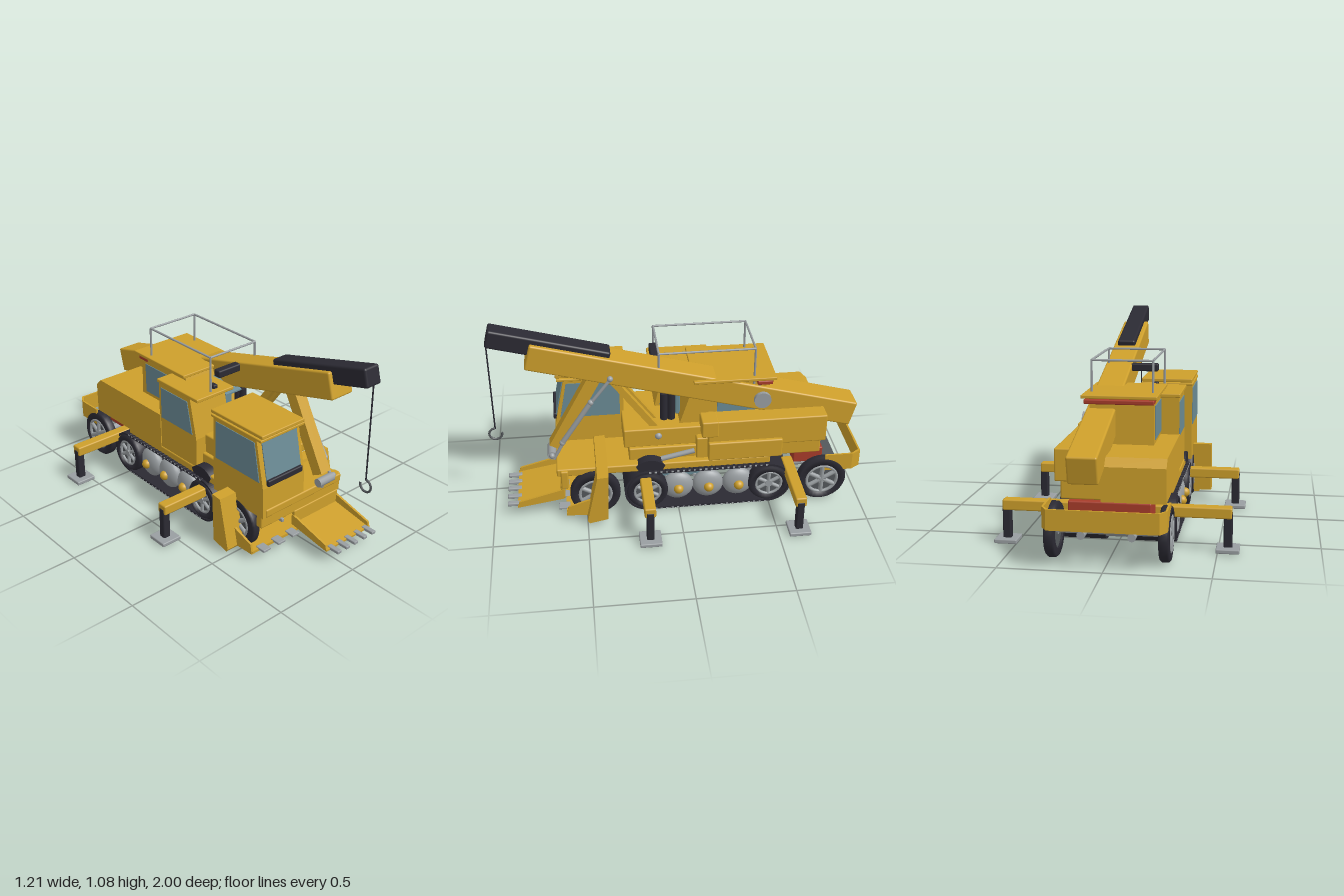
import * as THREE from 'three';
import { RoundedBoxGeometry } from 'three/addons/geometries/RoundedBoxGeometry.js';

const mat = (name, color) => Object.assign(new THREE.MeshStandardMaterial({ color }), { name });

export function createModel() {
  const model = new THREE.Group();
  model.name = 'constructionVehicle';
  const yellow = mat('yellow paint', 0xcd9f2b), dark = mat('dark rubber', 0x2b2a33);
  const grey = mat('light steel', 0x999ea1), bed = mat('dark steel', 0x54585b);
  const glass = mat('window glass', 0x6a8b95), red = mat('red trim', 0xa83c2a);

  const add = (name, geo, m, pos = [0, 0, 0], parent = model) => {
    const mesh = new THREE.Mesh(geo, m);
    mesh.name = name;
    mesh.position.set(...pos);
    parent.add(mesh);
    return mesh;
  };
  // box from its min and max in x, y, z
  const box = (name, m, x0, x1, y0, y1, z0, z1) => {
    const s = [x1 - x0, y1 - y0, z1 - z0], r = Math.min(0.008, Math.min(...s) * 0.25);
    return add(name, new RoundedBoxGeometry(...s, 2, r), m, [(x0 + x1) / 2, (y0 + y1) / 2, (z0 + z1) / 2]);
  };
  // side profile of [z, y] points swept from x0 to x1
  const prism = (name, m, pts, x0, x1) => {
    const shape = new THREE.Shape(pts.map((p) => new THREE.Vector2(...p)));
    const geo = new THREE.ExtrudeGeometry(shape, { depth: x1 - x0, bevelEnabled: false });
    return add(name, geo.rotateY(-Math.PI / 2), m, [x1, 0, 0]);
  };
  // bar between two points, round or square
  const bar = (name, m, a, b, r, sides = 12, parent = model) => {
    const p = new THREE.Vector3(...a), q = new THREE.Vector3(...b), d = q.clone().sub(p);
    const geo = sides === 4 ? new THREE.BoxGeometry(r * 1.4, d.length(), r * 1.4)
      : new THREE.CylinderGeometry(r, r, d.length(), sides);
    const mesh = add(name, geo, m, p.add(q).multiplyScalar(0.5).toArray(), parent);
    mesh.quaternion.setFromUnitVectors(new THREE.Vector3(0, 1, 0), d.normalize());
    return mesh;
  };
  const ball = (name, m, r, pos) => add(name, new THREE.SphereGeometry(r, 20, 14), m, pos);

  // spoked road wheel with its outer face toward side s
  const wheel = (name, s, y, z, r, w = 0.05) => {
    const g = new THREE.Group();
    g.name = name;
    g.position.set(s * (0.295 - w / 2), y, z);
    g.rotation.y = s < 0 ? Math.PI : 0;
    model.add(g);
    const h = w / 2, ri = r * 0.68;
    const prof = [[ri, -h], [r * 0.93, -h], [r, -h * 0.6], [r, h * 0.6], [r * 0.93, h], [ri, h], [ri, -h]];
    const tyre = new THREE.LatheGeometry(prof.map((p) => new THREE.Vector2(...p)), 32).rotateZ(-Math.PI / 2);
    add('tyre', tyre, dark, [0, 0, 0], g);
    add('rimDisc', new THREE.CylinderGeometry(ri, ri, w * 0.6, 28).rotateZ(Math.PI / 2), bed, [0, 0, 0], g);
    add('rimRing', new THREE.TorusGeometry(ri * 0.92, ri * 0.1, 8, 28).rotateY(Math.PI / 2), grey, [h * 0.8, 0, 0], g);
    add('hub', new THREE.CylinderGeometry(ri * 0.27, ri * 0.27, w, 16).rotateZ(Math.PI / 2), grey, [0.002, 0, 0], g);
    for (let i = 0; i < 6; i++) {
      const a = (i * Math.PI) / 3;
      bar('spoke', grey, [h * 0.7, 0, 0], [h * 0.7, Math.cos(a) * ri * 0.9, Math.sin(a) * ri * 0.9], ri * 0.14, 8, g);
    }
  };

  // track belt outline, a stadium of radius r centred on the origin
  const HALF = 0.3325, MID = -0.1625, AXLE = 0.13;
  const stadium = (P, r) => {
    const p = new P();
    p.moveTo(-HALF, -r).lineTo(HALF, -r);
    p.absarc(HALF, 0, r, -Math.PI / 2, Math.PI / 2, false);
    p.lineTo(-HALF, r);
    p.absarc(-HALF, 0, r, Math.PI / 2, Math.PI * 1.5, false);
    return p;
  };

  for (const s of [-1, 1]) {
    wheel('frontWheel', s, 0.14, 0.45, 0.135);
    wheel('rearWheel', s, 0.135, -0.79, 0.135);
    wheel('trackWheel', s, AXLE, 0.17, 0.112, 0.07);
    wheel('trackWheel', s, AXLE, -0.495, 0.112, 0.07);
    const outline = stadium(THREE.Shape, 0.123);
    outline.holes.push(stadium(THREE.Path, 0.112));
    const belt = new THREE.ExtrudeGeometry(outline, { depth: 0.23, bevelEnabled: false, curveSegments: 16 });
    add('trackBelt', belt.rotateY(-Math.PI / 2), dark, [s > 0 ? 0.29 : -0.06, AXLE, MID]);
    // tread pads and dash marks along the straight runs
    for (let i = 0; i < 22; i++) {
      const z = MID - HALF + (i + 0.5) * (2 * HALF / 22);
      for (const y of [AXLE - 0.121, AXLE + 0.121]) {
        const x = s * 0.19;
        box('treadPad', dark, x - 0.1, x + 0.1, y - 0.006, y + 0.006, z - 0.009, z + 0.009);
        box('treadLink', grey, s * 0.29 - 0.002, s * 0.29 + 0.002, y - 0.004, y + 0.004, z - 0.006, z + 0.006);
      }
    }
    // domed road rollers
    for (const z of [0, -0.165, -0.33]) {
      ball('roller', grey, 0.085, [s * 0.24, 0.125, z]).scale.x = 0.5;
      ball('rollerHub', yellow, 0.027, [s * 0.28, 0.125, z]);
    }
    add('trackGuard', new THREE.CylinderGeometry(0.19, 0.19, 0.06, 24, 1, false, Math.PI * 0.3, Math.PI * 0.4)
      .rotateZ(Math.PI / 2), dark, [s * 0.245, AXLE, 0.15]).scale.set(1, 1, 0.7);
    // outriggers
    const at = (a, b) => [Math.min(s * a, s * b), Math.max(s * a, s * b)];
    for (const z of [0.18, -0.61]) {
      box('outriggerBeam', yellow, ...at(0.18, 0.568), 0.17, 0.225, z - 0.03, z + 0.03);
      box('outriggerLeg', dark, ...at(0.528, 0.571), 0.02, 0.2, z - 0.02, z + 0.02);
      box('outriggerFoot', grey, ...at(0.492, 0.607), 0.005, 0.027, z - 0.058, z + 0.058);
    }
    bar('frameRail', grey, [s * 0.12, 0.14, -0.9], [s * 0.12, 0.14, -0.5], 0.02);
  }

  // chassis and underside
  box('deck', yellow, -0.27, 0.27, 0.25, 0.295, -0.5, 0.65);
  box('underFrame', dark, -0.06, 0.06, 0.08, 0.25, -0.6, 0.2);
  box('underTank', glass, -0.05, 0.05, 0.04, 0.085, -0.16, 0.12);
  for (const z of [-0.12, -0.04, 0.04]) bar('underTube', grey, [-0.06, 0.04, z], [0.06, 0.04, z], 0.012);
  add('drum', new THREE.CylinderGeometry(0.11, 0.11, 0.4, 32).rotateZ(Math.PI / 2), grey, [0, AXLE, -0.495]);
  for (const z of [0.45, -0.79]) bar('axle', grey, [-0.26, 0.137, z], [0.26, 0.137, z], 0.02);

  // tail frame: an open band bent around the rear corners
  const band = (t) => [[-0.292 + t, -0.8], [-0.292 + t, -0.95], [-0.262 + t, -1 + t], [0.262 - t, -1 + t], [0.292 - t, -0.95], [0.292 - t, -0.8]];
  const plan = new THREE.Shape([...band(0), ...band(0.01).reverse()].map(([x, z]) => new THREE.Vector2(x, -z)));
  const tail = new THREE.ExtrudeGeometry(plan, { depth: 0.1, bevelEnabled: false }).rotateX(-Math.PI / 2);
  add('tailFrame', tail, yellow, [0, 0.19, 0]);
  box('tailBed', bed, -0.2, 0.2, 0.2, 0.225, -0.88, -0.78);
  box('tailRedBar', red, -0.2, 0.2, 0.19, 0.28, -0.808, -0.645);
  bar('tailPin', grey, [-0.145, 0.235, -0.92], [-0.145, 0.235, -0.85], 0.009);

  // front cab with sloped windscreen
  prism('frontCab', yellow, [[0.27, 0.25], [0.645, 0.25], [0.64, 0.42], [0.585, 0.69], [0.27, 0.69]], -0.29, -0.005);
  box('cabRoofLower', yellow, -0.295, 0, 0.675, 0.69, 0.255, 0.625);
  box('cabRoof', yellow, -0.292, -0.005, 0.695, 0.715, 0.25, 0.63);
  prism('windscreen', glass, [[0.63, 0.44], [0.641, 0.44], [0.596, 0.66], [0.585, 0.66]], -0.262, -0.026);
  box('windscreenBar', dark, -0.262, -0.026, 0.427, 0.462, 0.625, 0.652);
  for (const x of [-0.294, -0.007]) prism('cabSideWindow', glass, [[0.29, 0.45], [0.615, 0.45], [0.575, 0.66], [0.29, 0.66]], x, x + 0.006);

  // middle cab: lower left part and raised part with roof
  prism('middleCab', yellow, [[-0.21, 0.28], [0.1, 0.28], [0.1, 0.46], [0.05, 0.69], [-0.21, 0.69]], -0.265, -0.03);
  box('middleCabRoof', yellow, -0.272, -0.02, 0.685, 0.705, -0.22, 0.12);
  box('roofVent', dark, -0.125, -0.095, 0.7, 0.725, 0.04, 0.08);
  for (const x of [-0.269, -0.032]) prism('middleCabWindow', glass, [[-0.19, 0.48], [0.07, 0.48], [0.03, 0.66], [-0.19, 0.66]], x, x + 0.006);
  prism('upperCab', yellow, [[-0.5, 0.28], [-0.02, 0.28], [-0.02, 0.47], [-0.1, 0.72], [-0.48, 0.72]], -0.17, 0.155);
  for (const x of [-0.174, 0.153]) prism('upperCabWindow', glass, [[-0.45, 0.51], [-0.22, 0.51], [-0.22, 0.68], [-0.45, 0.68]], x, x + 0.006);
  box('frontUpperWindow', glass, 0.01, 0.08, 0.48, 0.61, -0.03, -0.005);
  prism('slopedWindow', glass, [[-0.07, 0.68], [0.07, 0.63], [0.07, 0.638], [-0.07, 0.69]], -0.03, 0.08);
  box('roofRedTrim', red, -0.172, 0.18, 0.692, 0.715, -0.512, -0.43);
  box('upperRoof', yellow, -0.19, 0.19, 0.722, 0.74, -0.53, -0.09);
  box('lightBar', dark, -0.12, 0.03, 0.778, 0.82, 0.075, 0.12);
  for (const z of [0.02, 0.06]) bar('controlPost', dark, [0.1, 0.46, z], [0.1, 0.63, z], 0.02);

  // deck boxes, hood and side lockers
  box('deckBox', yellow, -0.2, 0.2, 0.36, 0.47, -0.14, 0.285);
  box('deckBoxBase', yellow, -0.22, 0.22, 0.285, 0.365, -0.16, 0.26);
  box('coreBody', yellow, -0.26, 0.24, 0.28, 0.42, -0.78, -0.1);
  prism('engineHood', yellow, [[-0.81, 0.28], [-0.2, 0.28], [-0.2, 0.49], [-0.77, 0.49], [-0.81, 0.45]], -0.27, 0.04);
  box('sideLocker', yellow, 0.14, 0.265, 0.37, 0.53, -0.8, -0.16);
  box('sideLockerStep', yellow, 0.16, 0.272, 0.44, 0.535, -0.215, -0.125);
  box('lowerLocker', yellow, 0.16, 0.285, 0.3, 0.41, -0.56, -0.16);
  bar('exhaustPipe', grey, [0.24, 0.305, 0.09], [0.24, 0.345, -0.09], 0.014);
  ball('deckBolt', grey, 0.02, [0.195, 0.425, 0.1]);

  // roof rail
  const rail = [[-0.155, -0.415], [0.155, -0.415], [0.155, 0.09], [-0.155, 0.09]];
  rail.forEach(([x, z], i) => {
    const [x2, z2] = rail[(i + 1) % 4];
    bar('railTop', grey, [x, 0.9, z], [x2, 0.9, z2], 0.006, 8);
    bar('railPost', grey, [x, 0.69, z], [x, 0.9, z], 0.006, 8);
  });

  // crane boom, extension, cable and hook
  const boom = add('boom', new RoundedBoxGeometry(0.147, 0.142, 1.79, 3, 0.01), yellow, [0.097, 0.695, -0.105]);
  const extension = add('boomExtension', new RoundedBoxGeometry(0.1, 0.098, 0.63, 3, 0.012), dark, [0.097, 0.95, 0.65]);
  boom.rotation.x = extension.rotation.x = -0.261;
  bar('cable', dark, [0.097, 0.47, 0.96], [0.097, 1.0, 0.96], 0.004, 8);
  add('hook', new THREE.TorusGeometry(0.034, 0.006, 8, 24, Math.PI * 1.6).rotateZ(Math.PI * 0.5).rotateY(Math.PI / 2), bed, [0.097, 0.438, 0.96]);
  add('boomPivot', new THREE.CylinderGeometry(0.046, 0.046, 0.04, 28).rotateZ(Math.PI / 2), grey, [0.17, 0.6, -0.46]);

  // boom struts and digging linkage
  for (const x of [0.075, 0.15]) bar('boomStrut', yellow, [x, 0.77, 0.34], [x, 0.44, 0.1], 0.025, 4);
  bar('diggerArm', yellow, [0.118, 0.8, 0.41], [0.118, 0.36, 0.65], 0.048, 4);
  for (const [a, b, r] of [[[0.182, 0.78, 0.345], [0.182, 0.64, 0.455], 0.009], [[0.182, 0.65, 0.45], [0.182, 0.41, 0.61], 0.014],
    [[0.182, 0.42, 0.6], [0.182, 0.31, 0.66], 0.009], [[0.07, 0.325, 0.67], [0.175, 0.325, 0.67], 0.024],
    [[0.118, 0.33, 0.665], [0.118, 0.28, 0.65], 0.015]]) bar('hydraulicRod', grey, a, b, r);
  for (const p of [[0.182, 0.785, 0.345], [0.182, 0.65, 0.45], [0.182, 0.41, 0.61], [0.182, 0.33, 0.67]]) ball('linkageJoint', grey, 0.016, p);

  // digging bucket
  prism('bucketFloor', yellow, [[0.62, 0.105], [0.87, 0.065], [0.87, 0.075], [0.62, 0.12]], -0.055, 0.268);
  box('bucketBack', yellow, -0.055, 0.268, 0.105, 0.19, 0.612, 0.635);
  for (const x of [-0.058, 0.258]) prism('bucketSide', yellow, [[0.62, 0.105], [0.87, 0.065], [0.86, 0.1], [0.62, 0.165]], x, x + 0.012);
  for (const x of [-0.018, 0.046, 0.106, 0.176, 0.24]) box('bucketTooth', grey, x - 0.014, x + 0.014, 0.064, 0.082, 0.85, 0.925);

  // front beam, dozer blade and scraper
  box('frontBeam', yellow, -0.285, 0.285, 0.18, 0.29, 0.59, 0.63);
  box('towPin', grey, -0.155, -0.138, 0.17, 0.19, 0.61, 0.645);
  prism('dozerBlade', yellow, [[0.39, 0.04], [0.49, 0.02], [0.5, 0.035], [0.44, 0.31], [0.38, 0.315]], -0.395, 0.39);
  prism('scraperFloor', yellow, [[0.42, 0.02], [0.61, 0.035], [0.61, 0.05], [0.42, 0.055]], -0.325, 0.325);
  for (const x of [-0.33, 0.318]) prism('scraperSide', yellow, [[0.42, 0.03], [0.61, 0.035], [0.6, 0.09], [0.42, 0.15]], x, x + 0.012);
  for (let i = 0; i < 6; i++) box('scraperTooth', grey, -0.282 + i * 0.103, -0.232 + i * 0.103, 0.042, 0.056, 0.59, 0.65);
  return model;
}
